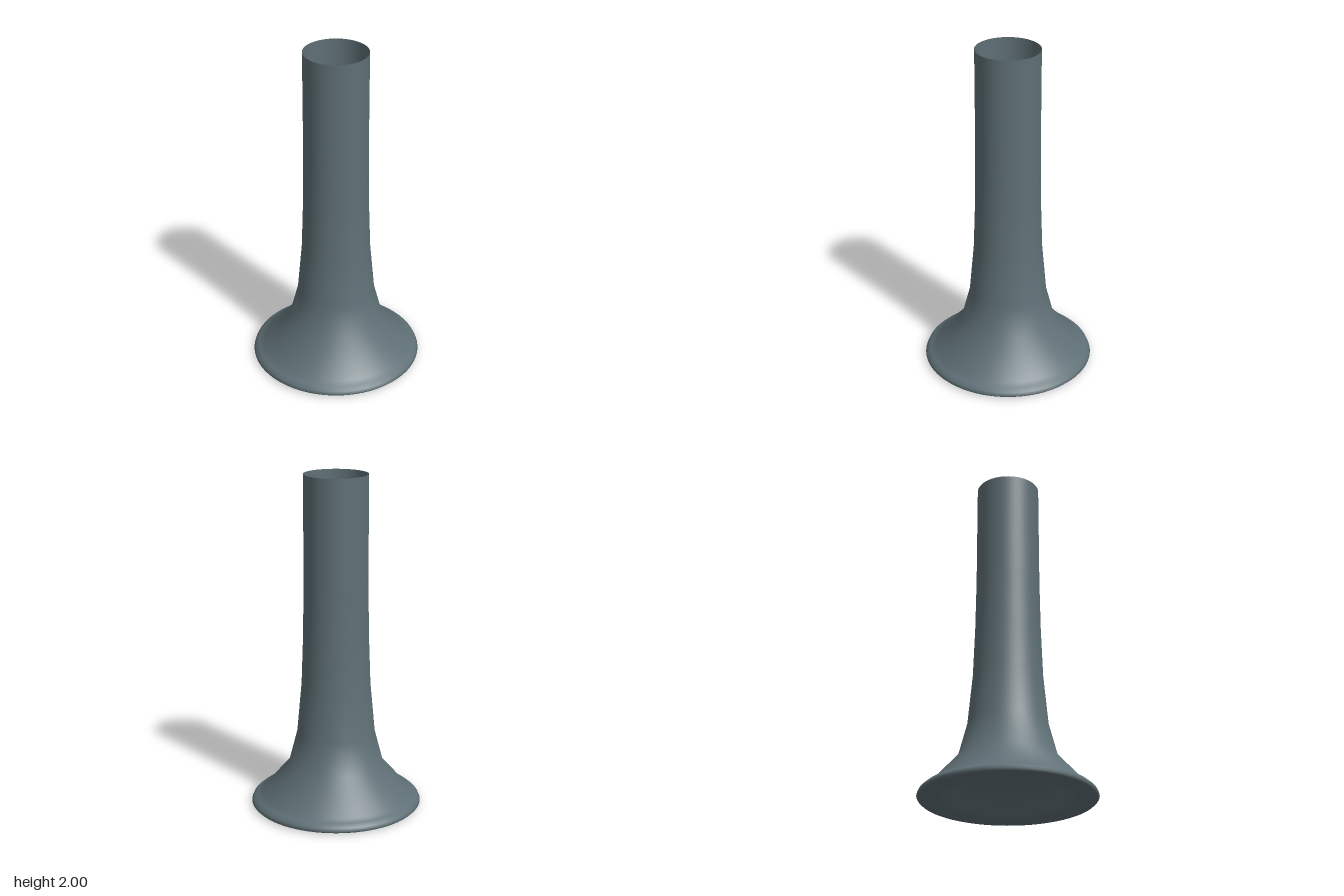
import * as THREE from 'three';

const SEGMENTS = 96;

export function createModel() {
  const group = new THREE.Group();
  group.name = 'flaredTube';
  const material = new THREE.MeshStandardMaterial({ color: 0x5f7076, side: THREE.DoubleSide });

  // Profiles are [radius, height] pairs, running outward and upward
  const addLathe = (name, profile) => {
    const points = profile.map(([r, y]) => new THREE.Vector2(r, y));
    const mesh = new THREE.Mesh(new THREE.LatheGeometry(points, SEGMENTS), material);
    mesh.name = name;
    group.add(mesh);
  };

  // Shallow domed recess closing the bottom
  addLathe('baseUnderside', [
    [0, 0.14], [0.08, 0.138], [0.16, 0.128], [0.23, 0.11], [0.29, 0.075],
    [0.34, 0.025], [0.37, 0.004], [0.41, 0], [0.45, 0],
  ]);

  // Rounded foot rim, flare and thin-walled tube, open at the top
  addLathe('flaredBody', [
    [0.45, 0], [0.5, 0.005], [0.511, 0.016], [0.503, 0.035], [0.48, 0.055], [0.445, 0.07],
    [0.285, 0.25], [0.233, 0.45], [0.205, 0.75], [0.194, 1.05], [0.189, 1.37], [0.188, 2],
  ]);

  return group;
}
